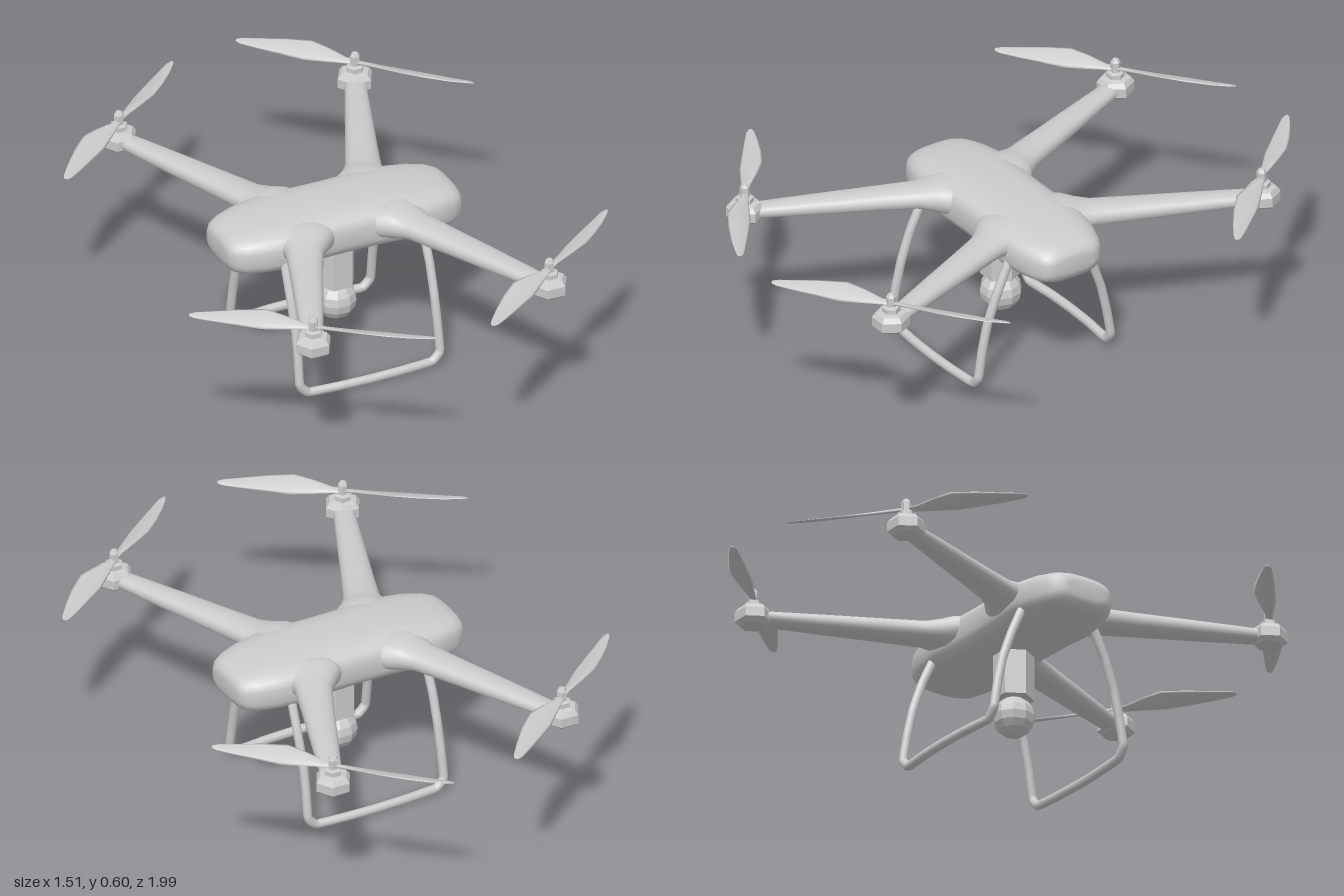
import * as THREE from 'three';

const smooth = new THREE.MeshStandardMaterial({ color: 0xcccccc });
const faceted = new THREE.MeshStandardMaterial({ color: 0xcccccc, flatShading: true });

function addMesh(parent, name, geometry, material = smooth) {
  const mesh = new THREE.Mesh(geometry, material);
  mesh.name = name;
  parent.add(mesh);
  return mesh;
}

// Skins superellipse sections along z; each is [z, halfWidth, halfHeight, centreX, centreY, twist]
function loft(sections, power = 2, sides = 20) {
  const positions = [], index = [];
  const curve = (v) => Math.sign(v) * Math.abs(v) ** (2 / power);
  const rings = [...sections];
  const first = sections[0], last = sections[sections.length - 1];
  rings.unshift([first[0], 0, 0, ...first.slice(3)]);
  rings.push([last[0], 0, 0, ...last.slice(3)]);
  rings.forEach(([z, hw, hh, cx = 0, cy = 0, twist = 0], i) => {
    for (let j = 0; j < sides; j++) {
      const a = (j / sides) * Math.PI * 2;
      const x = cx + hw * curve(Math.cos(a)), y = hh * curve(Math.sin(a));
      positions.push(
        x * Math.cos(twist) - y * Math.sin(twist),
        cy + x * Math.sin(twist) + y * Math.cos(twist), z);
      if (i === 0) continue;
      const k = (j + 1) % sides, p = (i - 1) * sides, q = i * sides;
      index.push(p + j, p + k, q + k, p + j, q + k, q + j);
    }
  });
  const geometry = new THREE.BufferGeometry();
  geometry.setAttribute('position', new THREE.Float32BufferAttribute(positions, 3));
  geometry.setIndex(index);
  geometry.computeVertexNormals();
  return geometry;
}

// Main body: half profile [x, halfDepth, bottom, top], mirrored to both ends
function bodyGeometry() {
  const half = [
    [0, 0.152, 0.395, 0.563], [0.12, 0.156, 0.395, 0.562], [0.22, 0.165, 0.395, 0.556],
    [0.31, 0.15, 0.396, 0.548], [0.37, 0.13, 0.399, 0.538], [0.4, 0.112, 0.41, 0.527],
    [0.415, 0.092, 0.427, 0.512], [0.42, 0.07, 0.443, 0.497],
  ];
  const all = [...half.slice(1).reverse().map(([x, ...r]) => [-x, ...r]), ...half];
  return loft(all.map(([x, d, b, t]) => [x, d, (t - b) / 2, 0, (t + b) / 2]), 3, 32).rotateY(Math.PI / 2);
}

// Two-bladed propeller, twisted along its length
function addPropeller(parent, angle) {
  const propeller = new THREE.Group();
  propeller.name = 'propeller';
  propeller.position.y = 0.561;
  propeller.rotation.y = angle;
  const blade = loft([
    [0, 0.012, 0.006, 0, 0, -0.2], [0.035, 0.014, 0.006, 0, 0, -0.3],
    [0.1, 0.029, 0.005, -0.008, 0, -0.4], [0.165, 0.041, 0.004, -0.013, 0, -0.4],
    [0.25, 0.034, 0.004, -0.01, 0, -0.35], [0.33, 0.024, 0.003, -0.005, 0, -0.3],
    [0.39, 0.014, 0.003, 0, 0.002, -0.3], [0.408, 0.006, 0.002, 0, 0.002, -0.3],
  ], 2, 10);
  for (const turn of [0, Math.PI]) addMesh(propeller, 'blade', blade).rotation.y = turn;
  parent.add(propeller);
}

export function createModel() {
  const model = new THREE.Group();
  model.name = 'drone';

  addMesh(model, 'body', bodyGeometry()).position.z = 0.013;

  // Arms flare into the body and carry a hexagonal motor pod
  const arm = loft([
    [0, 0.12, 0.06], [0.09, 0.1, 0.056], [0.13, 0.078, 0.046], [0.18, 0.061, 0.037],
    [0.3, 0.054, 0.034], [0.5, 0.045, 0.029], [0.69, 0.036, 0.023], [0.73, 0.03, 0.02],
  ], 2.3);
  const podProfile = [
    [0, 0.465], [0.045, 0.467], [0.062, 0.48], [0.062, 0.512], [0.05, 0.528], [0.03, 0.532],
    [0.03, 0.548], [0.017, 0.552], [0.017, 0.585], [0.01, 0.596], [0, 0.597],
  ].map(([r, y]) => new THREE.Vector2(r, y));
  const pod = new THREE.LatheGeometry(podProfile, 6, Math.PI / 6);

  // Each corner: side, end, and the x and z direction of one propeller blade
  const corners = [
    [1, 1, 0.325, -0.247], [-1, 1, 0.327, 0.24],
    [1, -1, 0.287, 0.29], [-1, -1, 0.315, -0.257],
  ];
  for (const [sx, sz, bx, bz] of corners) {
    const armMesh = addMesh(model, 'arm', arm);
    armMesh.position.set(sx * 0.135, 0.495, 0.013 + sz * 0.04);
    armMesh.rotation.y = Math.atan2(sx * 0.29, sz * 0.6825);

    const motor = new THREE.Group();
    motor.name = 'motor';
    motor.position.set(sx * 0.425, 0, 0.013 + sz * 0.7225);
    addMesh(motor, 'motorPod', pod, faceted);
    addPropeller(motor, Math.atan2(bx, bz));
    model.add(motor);
  }

  // Landing gear: two splayed legs joined by a slightly bowed skid
  const leg = [
    [0.248, 0.45, 0.135], [0.251, 0.34, 0.185], [0.25, 0.235, 0.222], [0.251, 0.14, 0.243],
    [0.252, 0.048, 0.258], [0.222, 0.017, 0.259], [0.11, 0.017, 0.268],
  ];
  const path = [
    ...leg.map(([x, y, z]) => [-x, y, z]), [0, 0.017, 0.271], ...[...leg].reverse(),
  ].map((p) => new THREE.Vector3(...p));
  const gearCurve = new THREE.CatmullRomCurve3(path, false, 'catmullrom', 0.15);
  const gear = new THREE.TubeGeometry(gearCurve, 110, 0.0155, 8);
  for (const turn of [0, Math.PI]) {
    const mesh = addMesh(model, 'landingGear', gear);
    mesh.position.z = 0.021;
    mesh.rotation.y = turn;
  }

  // Camera column and ball beneath the body
  const column = new THREE.CylinderGeometry(0.067, 0.067, 0.19, 6, 1, false, Math.PI / 6);
  addMesh(model, 'cameraColumn', column, faceted).position.set(0, 0.335, 0.023);
  const ball = new THREE.SphereGeometry(0.07, 10, 8);
  addMesh(model, 'cameraBall', ball, faceted).position.set(0, 0.178, 0.023);

  return model;
}
